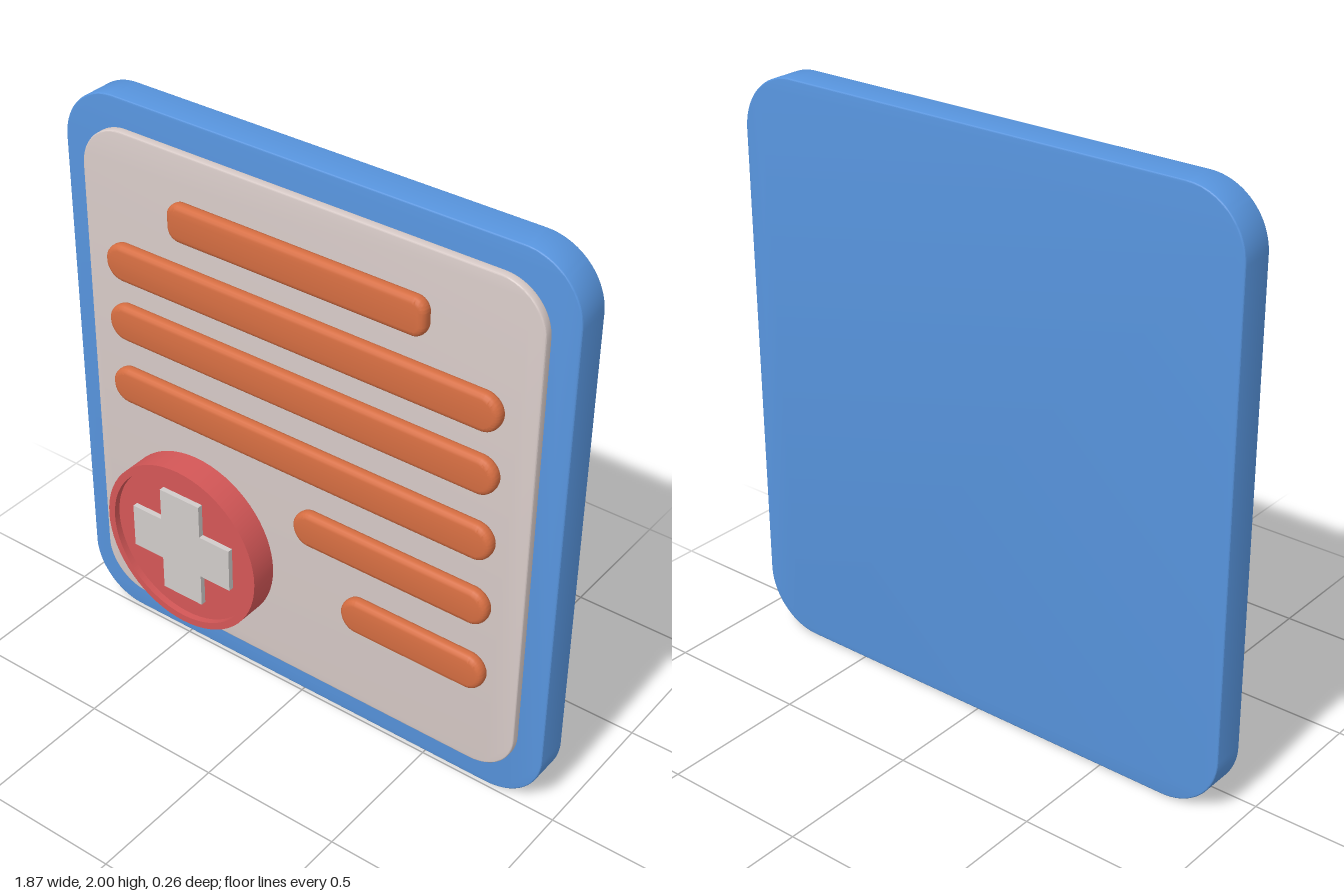
import * as THREE from 'three';
import { toCreasedNormals } from 'three/addons/utils/BufferGeometryUtils.js';

const mat = (name, color) => {
  const m = new THREE.MeshStandardMaterial({ color });
  m.name = name;
  return m;
};

// Rounded rectangle between two corners
function roundedRect(x0, y0, x1, y1, r) {
  const s = new THREE.Shape();
  s.absarc(x1 - r, y0 + r, r, -Math.PI / 2, 0);
  s.absarc(x1 - r, y1 - r, r, 0, Math.PI / 2);
  s.absarc(x0 + r, y1 - r, r, Math.PI / 2, Math.PI);
  s.absarc(x0 + r, y0 + r, r, Math.PI, Math.PI * 1.5);
  s.closePath();
  return s;
}

// Slab of a shape from z0 to z1, with an optional bevel kept inside the outline
function slab(name, shape, z0, z1, material, bevel = 0, curveSegments = 12) {
  const geo = new THREE.ExtrudeGeometry(shape, {
    depth: z1 - z0 - 2 * bevel, curveSegments,
    bevelEnabled: bevel > 0, bevelThickness: bevel, bevelSize: bevel,
    bevelOffset: -bevel, bevelSegments: 3,
  });
  geo.translate(0, 0, z0 + bevel);
  const mesh = new THREE.Mesh(toCreasedNormals(geo, 0.6), material);
  mesh.name = name;
  return mesh;
}

export function createModel() {
  const blue = mat('board blue', 0x5794dd);
  const paper = mat('paper grey', 0xd8cbc8);
  const orange = mat('line orange', 0xd66e42);
  const red = mat('badge red', 0xd45757);
  const grey = mat('cross grey', 0xd0cbc9);

  const model = new THREE.Group();
  model.name = 'medicalNotice';

  // Backing board and sheet
  model.add(slab('board', roundedRect(-0.935, 0, 0.935, 2, 0.2), -0.13, -0.013, blue, 0.004));
  model.add(slab('sheet', roundedRect(-0.845, 0.1, 0.843, 1.902, 0.16), -0.015, 0.015, paper, 0.004));

  // Raised text lines: left, right, centre height, end radius
  const lines = new THREE.Group();
  lines.name = 'textLines';
  [
    [-0.48, 0.472, 1.685, 0.045],
    [-0.74, 0.735, 1.46, 0.064],
    [-0.74, 0.735, 1.238, 0.064],
    [-0.74, 0.735, 0.996, 0.064],
    [0, 0.735, 0.747, 0.064],
    [0.192, 0.735, 0.486, 0.064],
  ].forEach(([x0, x1, y, r], i) => {
    lines.add(slab(`textLine${i + 1}`, roundedRect(x0, y - 0.065, x1, y + 0.065, r), 0.01, 0.057, orange, 0.018));
  });
  model.add(lines);

  // Round badge: rim, recessed face and raised cross
  const badge = new THREE.Group();
  badge.name = 'badge';
  badge.position.set(-0.41, 0.5, 0);
  const disc = (r) => new THREE.Shape().absarc(0, 0, r, 0, Math.PI * 2);
  const rim = disc(0.315);
  rim.holes.push(new THREE.Path().absarc(0, 0, 0.289, 0, Math.PI * 2, true));
  badge.add(slab('badgeRim', rim, 0.032, 0.131, red, 0, 32));
  badge.add(slab('badgeFace', disc(0.29), 0.032, 0.108, red, 0, 32));

  const a = 0.205, b = 0.082;
  const cross = new THREE.Shape([
    [b, -a], [b, -b], [a, -b], [a, b], [b, b], [b, a],
    [-b, a], [-b, b], [-a, b], [-a, -b], [-b, -b], [-b, -a],
  ].map(([x, y]) => new THREE.Vector2(x, y)));
  badge.add(slab('cross', cross, 0.105, 0.127, grey));
  model.add(badge);

  return model;
}
